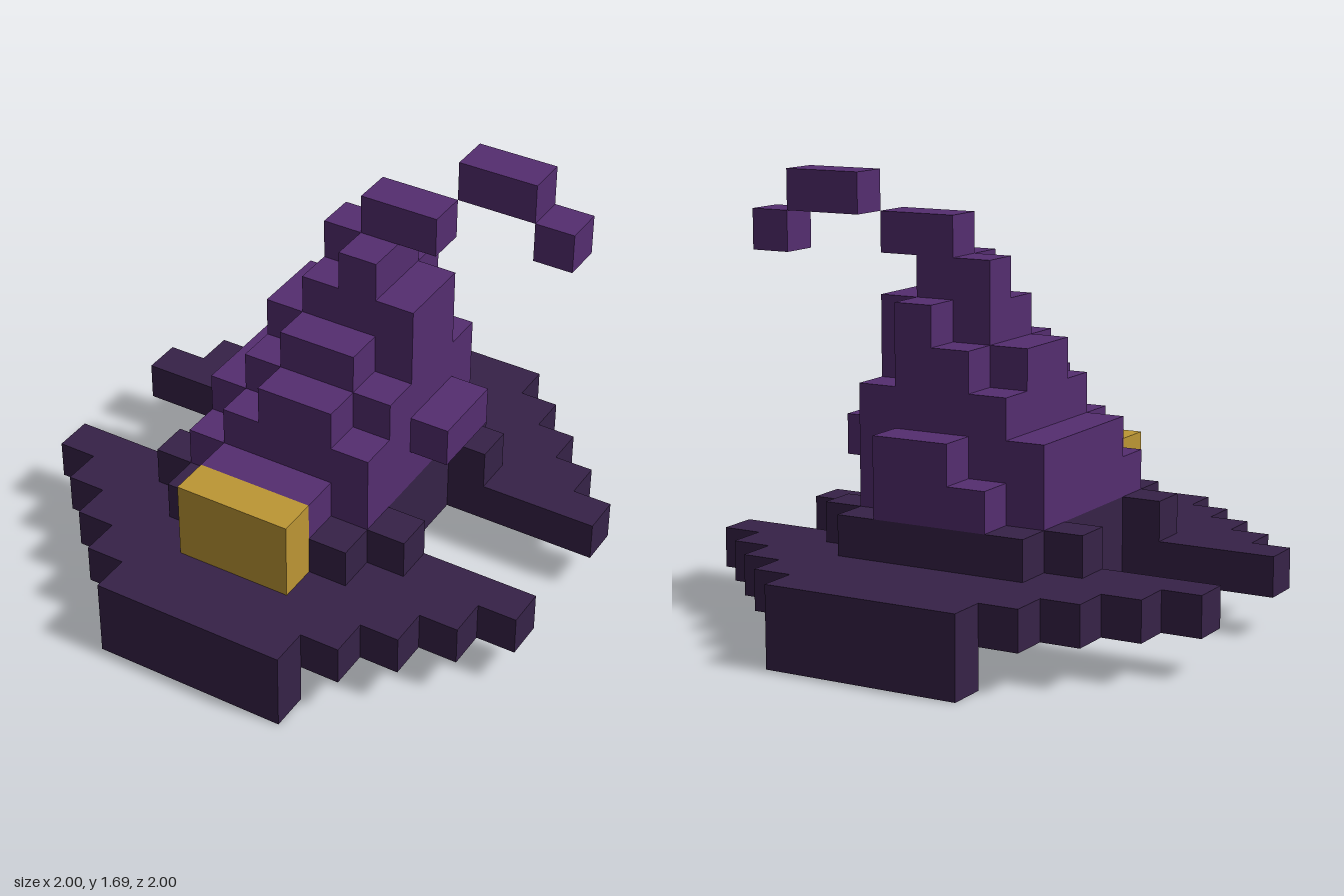
import * as THREE from 'three';

const U = 2 / 13; // edge of one block

export function createModel() {
  const cloth = new THREE.MeshStandardMaterial({ color: 0x542d70 });
  cloth.name = 'purple cloth';
  const dark = new THREE.MeshStandardMaterial({ color: 0x362247 });
  dark.name = 'dark purple cloth';
  const gold = new THREE.MeshStandardMaterial({ color: 0xbc9634 });
  gold.name = 'gold';

  const hat = new THREE.Group();
  hat.name = 'hat';

  // One group of blocks; each entry is an inclusive cell range [x0, x1, z0, z1, y0, y1 = y0]
  function part(name, material, ranges) {
    const group = new THREE.Group();
    group.name = name;
    for (const [x0, x1, z0, z1, y0, y1 = y0] of ranges) {
      const geometry = new THREE.BoxGeometry((x1 - x0 + 1) * U, (y1 - y0 + 1) * U, (z1 - z0 + 1) * U);
      const mesh = new THREE.Mesh(geometry, material);
      mesh.name = name + 'Block';
      mesh.position.set(((x0 + x1) / 2) * U, ((y0 + y1 + 1) / 2) * U, ((z0 + z1) / 2) * U);
      group.add(mesh);
    }
    hat.add(group);
  }

  // Brim: rows widen from front and back toward the notched sides
  const brim = [[-2, 2, -1, 1, 1]];
  for (const s of [-1, 1]) {
    for (let z = 2; z <= 6; z++) brim.push([z - 8, 8 - z, s * z, s * z, 1]);
  }
  part('brim', dark, brim);

  // Turned-down flaps at front and back
  part('brimFlap', dark, [[-2, 2, 6, 6, 0], [-2, 2, -6, -6, 0]]);

  // Dark band around the foot of the cone
  part('band', dark, [
    [-2, 2, -1, 1, 2],
    [-3, 3, 2, 2, 2], [-3, 3, -2, -2, 2],
    [-2, 2, 3, 3, 2], [-2, 2, -3, -3, 2],
  ]);

  // Buckle on the front
  part('buckle', gold, [[-1, 1, 4, 4, 2, 3]]);

  // Crumpled cone, layer by layer
  part('cone', cloth, [
    [-2, 2, -2, 2, 3], [-1, 1, 3, 3, 3], [-1, 1, -3, -3, 3],
    [-2, 2, -2, 1, 4], [-1, 2, 2, 2, 4], [0, 1, -3, -3, 4],
    [-1, 2, -2, 1, 5], [0, 1, 2, 2, 5],
    [-1, 2, -1, 0, 6], [0, 1, 1, 1, 6], [0, 1, -2, -2, 6],
    [0, 2, -1, 0, 7], [1, 1, -2, -2, 7],
    [0, 1, -1, -1, 8], [1, 1, 0, 0, 8],
  ]);

  // Fold sticking out of the side
  part('sideFold', cloth, [[3, 3, -1, 0, 4]]);

  // Drooping tip
  part('tip', cloth, [[1, 2, -1, -1, 9], [3, 4, -2, -2, 10], [5, 5, -2, -2, 9]]);

  return hat;
}
